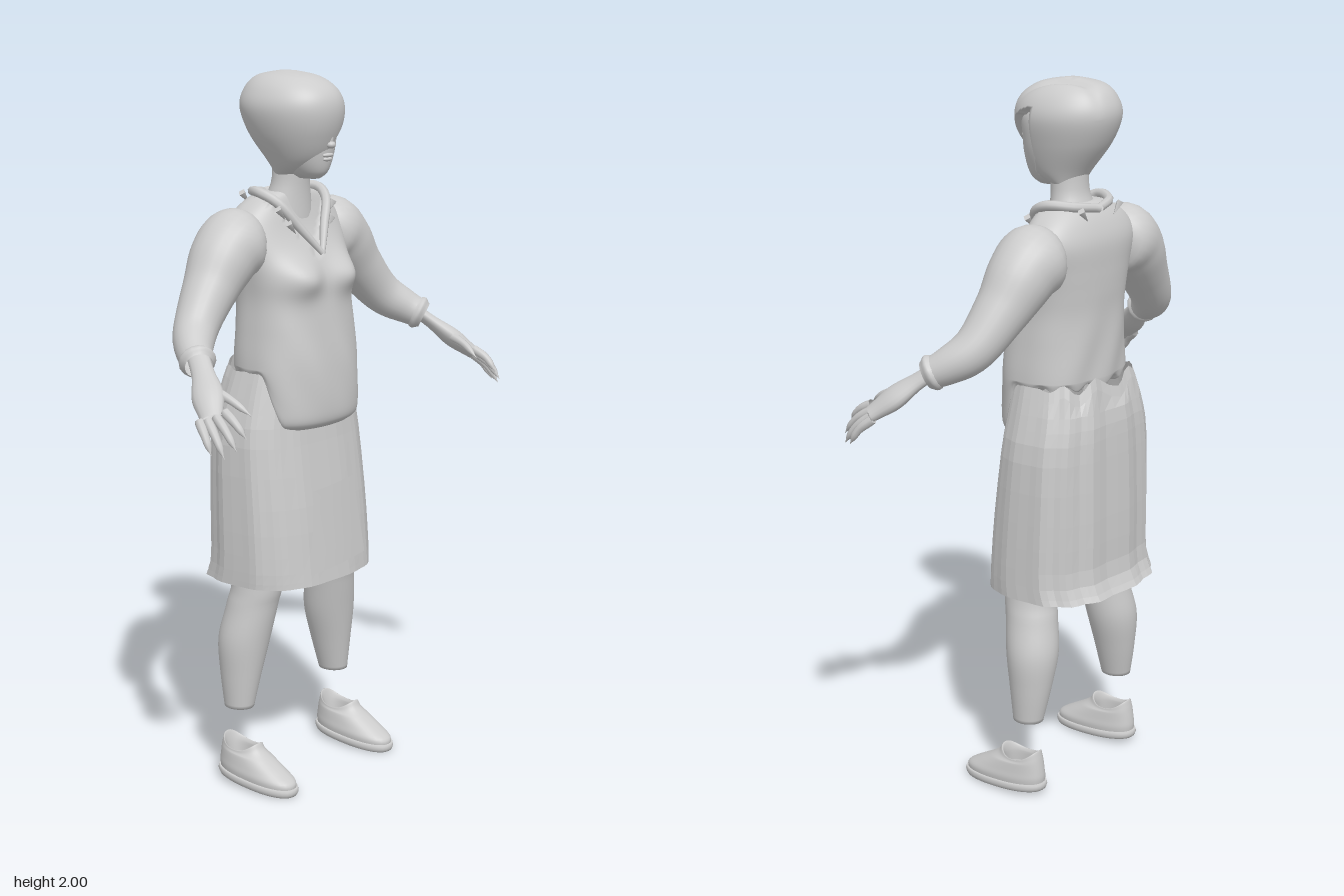
import * as THREE from 'three';
import { mergeVertices } from 'three/addons/utils/BufferGeometryUtils.js';

const clay = new THREE.MeshStandardMaterial({ color: 0xcccccc, side: THREE.DoubleSide });
clay.name = 'light grey';
const V = (x, y, z) => new THREE.Vector3(x, y, z);
const gauss = (d, w) => Math.exp(-(d * d) / (w * w));

// smooth interpolation through rows of numbers, t from 0 to 1
function sample(rows, t) {
  const f = t * (rows.length - 1), i = Math.min(Math.floor(f), rows.length - 2), u = f - i;
  const at = k => rows[Math.max(0, Math.min(rows.length - 1, k))];
  return rows[i].map((b, k) => {
    const a = at(i - 1)[k], c = rows[i + 1][k], d = at(i + 2)[k];
    return b + 0.5 * u * (c - a + u * (2 * a - 5 * b + 4 * c - d + u * (3 * (b - c) + d - a)));
  });
}

// stacked rings from rows [y, half width, front z, back z, centre x]
function loft(rows, { rings = 32, segs = 48, power = 2, rule, capBottom, capTop, flat } = {}) {
  const pos = [], idx = [];
  const levels = [];
  for (let i = 0; i <= rings; i++) levels.push([...sample(rows, i / rings), 1]);
  if (capBottom) levels.unshift([...levels[0].slice(0, 5), 0]);
  if (capTop) levels.push([...levels[levels.length - 1].slice(0, 5), 0]);
  const soft = v => Math.sign(v) * Math.abs(v) ** (2 / power);
  levels.forEach(([y, rx, zf, zb, cx, s]) => {
    for (let j = 0; j < segs; j++) {
      const a = (j / segs) * Math.PI * 2;
      const p = V(cx + soft(Math.cos(a)) * rx * s, y, (zf + zb) / 2 + soft(Math.sin(a)) * s * (zf - zb) / 2);
      if (rule) rule(p, a);
      pos.push(p.x, p.y, p.z);
    }
  });
  for (let i = 0; i < levels.length - 1; i++) {
    for (let j = 0; j < segs; j++) {
      const a = i * segs + j, b = i * segs + (j + 1) % segs, c = a + segs, d = b + segs;
      idx.push(a, c, b, b, c, d);
    }
  }
  let g = new THREE.BufferGeometry();
  g.setAttribute('position', new THREE.Float32BufferAttribute(pos, 3));
  g.setIndex(idx);
  if (flat) g = g.toNonIndexed();
  g.computeVertexNormals();
  return g;
}

// tube of changing radius, optionally squashed along one direction
function limb(points, radii, { n = 24, segs = 16, squash, amount = 0.5 } = {}) {
  const curve = new THREE.CatmullRomCurve3(points);
  const g = new THREE.TubeGeometry(curve, n, 1, segs);
  const p = g.attributes.position, v = V(0, 0, 0), rows = radii.map(r => [r]);
  for (let i = 0; i < p.count; i++) {
    const t = Math.floor(i / (segs + 1)) / n, c = curve.getPointAt(t);
    v.fromBufferAttribute(p, i).sub(c).multiplyScalar(Math.max(0.0005, sample(rows, t)[0]));
    if (squash) v.addScaledVector(squash, -(1 - amount) * v.dot(squash));
    v.add(c);
    p.setXYZ(i, v.x, v.y, v.z);
  }
  g.deleteAttribute('uv');
  g.deleteAttribute('normal');
  const m = mergeVertices(g, 1e-5);
  m.computeVertexNormals();
  return m;
}

export function createModel() {
  const model = new THREE.Group();
  const add = (name, geometry, parent = model) => {
    const m = new THREE.Mesh(geometry, clay);
    m.name = name;
    parent.add(m);
    return m;
  };

  // shirt: bust, recessed V opening, hem long in front and short behind
  add('shirt', loft([
    [1.03, 0.155, 0.08, -0.17, 0], [1.05, 0.175, 0.1, -0.175, 0], [1.1, 0.18, 0.105, -0.178, 0],
    [1.2, 0.185, 0.1, -0.18, 0], [1.3, 0.178, 0.088, -0.18, 0], [1.38, 0.173, 0.078, -0.18, 0],
    [1.44, 0.178, 0.07, -0.183, 0], [1.5, 0.188, 0.046, -0.185, 0], [1.57, 0.2, 0.012, -0.185, 0],
    [1.62, 0.175, -0.005, -0.17, 0], [1.66, 0.12, -0.015, -0.145, 0], [1.675, 0.07, -0.02, -0.12, 0],
  ], {
    rings: 66, segs: 96, power: 2.5, capBottom: true, capTop: true,
    rule(p, a) {
      if (p.y < 1.2) {
        const s = THREE.MathUtils.smoothstep(Math.sin(a), 0.05, 0.55);
        p.y = 1.2 - (1.2 - p.y) * (0.12 + 0.88 * s) + 0.012 * Math.sin(a * 13) * (1 - s) * (1.2 - p.y) * 5;
      }
      if (Math.sin(a) > 0) {
        p.z += 0.034 * gauss(Math.abs(p.x) - 0.088, 0.06) * gauss(p.y - 1.45, 0.05);
        if (p.y > 1.51 + Math.abs(p.x) * 1.25) p.z -= 0.012;
      }
      p.z += 0.003 * Math.sin(p.x * 45 + p.y * 20) * gauss(p.y - 1.2, 0.15);
    },
  }));

  // collar: V in front, round at the back, with a few torn tabs
  for (const s of [1, -1]) {
    add('collar', limb([
      V(0, 1.51, 0.055), V(s * 0.05, 1.58, 0.018), V(s * 0.1, 1.65, -0.02), V(s * 0.115, 1.675, -0.07),
      V(s * 0.075, 1.672, -0.135), V(0, 1.662, -0.16),
    ], [0.008, 0.012, 0.014, 0.014, 0.013, 0.012], { segs: 8 }));
    for (const [x, y, z] of [[0.1, 1.62, -0.005], [0.075, 1.58, 0.012], [0.07, 1.65, -0.165]]) {
      const tab = add('tornTab', new THREE.ConeGeometry(0.012, 0.045, 4), model);
      tab.position.set(s * x, y, z);
      tab.rotation.z = s * 2.4;
    }
  }

  // skirt: faceted pleats, flaring hem and ragged waist behind
  const skirtRows = [
    [0.59, 0.245, 0.12, -0.262, 0], [0.65, 0.245, 0.113, -0.237, 0], [0.8, 0.243, 0.098, -0.235, 0],
    [1.0, 0.235, 0.07, -0.23, 0], [1.1, 0.212, 0.06, -0.223, 0], [1.19, 0.185, 0.05, -0.2, 0],
  ];
  add('skirt', loft(skirtRows, {
    rings: 12, segs: 56, power: 2.7, flat: true,
    rule(p, a) {
      const back = Math.max(0, -Math.sin(a));
      const k = 1 + 0.018 * Math.sin(a * 14) * (0.4 + back) - 0.012;
      p.x *= k;
      p.z = (p.z + 0.07) * k - 0.07;
      if (p.y > 1.12) p.y += 0.022 * Math.sin(a * 9 + 1) * back;
    },
  }));

  // thin patch on the skirt front
  const patch = new THREE.PlaneGeometry(0.2, 0.23, 4, 4);
  const pp = patch.attributes.position;
  for (let i = 0; i < pp.count; i++) {
    const y = 0.75 + pp.getY(i), x = pp.getX(i) * (1 - (y - 0.75) * 1.3);
    pp.setXYZ(i, x, y + x * 0.08, 0.125 - (y - 0.63) * 0.1 - x * x * 0.6);
  }
  patch.computeVertexNormals();
  add('skirtPatch', patch);

  for (const s of [1, -1]) {
    const side = s > 0 ? 'left' : 'right';
    const M = (x, y, z) => V(s * x, y, z);

    // sleeve and cuff
    add(side + 'Sleeve', limb([
      M(0.08, 1.55, -0.09), M(0.15, 1.555, -0.09), M(0.22, 1.528, -0.09), M(0.31, 1.43, -0.078),
      M(0.395, 1.335, -0.05), M(0.445, 1.295, -0.005), M(0.472, 1.272, 0.035),
    ], [0, 0.092, 0.092, 0.076, 0.064, 0.055, 0.042], { n: 36, segs: 24 }));
    add(side + 'Cuff', limb([M(0.458, 1.285, 0.015), M(0.467, 1.277, 0.028), M(0.476, 1.269, 0.042)],
      [0.042, 0.05, 0.038], { n: 8 }));

    // hand
    const normal = M(0.08, -0.11, 0.12).cross(M(0.07, -0.04, -0.06)).normalize();
    const hand = new THREE.Group();
    hand.name = side + 'Hand';
    model.add(hand);
    add('palm', limb([M(0.45, 1.295, 0.01), M(0.485, 1.25, 0.065), M(0.52, 1.205, 0.115), M(0.558, 1.16, 0.165)],
      [0.03, 0.031, 0.043, 0.03], { squash: normal, amount: 0.6 }), hand);
    const fingers = [
      [0.532, 1.178, 0.185, 0.535, 1.12, 0.262], [0.55, 1.167, 0.172, 0.565, 1.092, 0.256],
      [0.566, 1.158, 0.157, 0.588, 1.074, 0.235], [0.578, 1.155, 0.14, 0.602, 1.08, 0.203],
      [0.498, 1.22, 0.11, 0.482, 1.165, 0.232],
    ];
    for (const [x, y, z, u, v, w] of fingers) {
      add('finger', limb([M(x, y, z), M((x + u) / 2 + 0.004, (y + v) / 2 + 0.006, (z + w) / 2 + 0.004), M(u, v, w)],
        [0.013, 0.013, 0.011, 0.009, 0], { n: 12, segs: 8 }), hand);
    }

    // leg, ending above the ankle
    add(side + 'Leg', loft([
      [0.22, 0.04, -0.033, -0.122, s * 0.207], [0.32, 0.058, -0.018, -0.14, s * 0.197],
      [0.42, 0.074, -0.002, -0.15, s * 0.185], [0.52, 0.071, 0.015, -0.135, s * 0.168],
      [0.62, 0.071, 0.03, -0.125, s * 0.152], [0.95, 0.1, 0.03, -0.15, s * 0.1],
    ], { segs: 28, capBottom: true, capTop: true }));

    // shoe with hollow opening, on a slightly wider sole
    const pitch = p => { p.y += (0.14 - p.z) * 0.06; };
    add(side + 'Shoe', loft([
      [0.015, 0.054, 0.132, -0.132, s * 0.214], [0.035, 0.056, 0.13, -0.134, s * 0.214],
      [0.055, 0.052, 0.095, -0.132, s * 0.214], [0.08, 0.047, 0.045, -0.128, s * 0.214],
      [0.1, 0.043, 0.015, -0.124, s * 0.214], [0.118, 0.041, 0.002, -0.118, s * 0.214],
      [0.09, 0.036, -0.005, -0.11, s * 0.214], [0.05, 0.034, 0, -0.105, s * 0.214],
    ], {
      segs: 36, power: 2.3, capBottom: true, capTop: true,
      rule(p, a) {
        if (p.y > 0.08) p.y -= (p.y - 0.08) * 0.7 * Math.cos(a) ** 2;
        pitch(p);
      },
    }));
    add(side + 'Sole', loft([
      [0, 0.057, 0.135, -0.135, s * 0.214], [0.011, 0.061, 0.14, -0.14, s * 0.214], [0.022, 0.058, 0.137, -0.137, s * 0.214],
    ], { rings: 4, segs: 36, power: 2.3, capBottom: true, capTop: true, rule: pitch }));
  }

  // neck and head
  add('neck', loft([
    [1.6, 0.085, -0.01, -0.15, 0], [1.66, 0.068, -0.012, -0.125, 0], [1.71, 0.056, -0.01, -0.11, 0], [1.8, 0.055, 0, -0.11, 0],
  ], { rings: 12, segs: 28 }));
  add('head', loft([
    [1.712, 0.022, 0.04, -0.03, 0], [1.73, 0.045, 0.062, -0.06, 0], [1.77, 0.068, 0.074, -0.085, 0],
    [1.83, 0.085, 0.08, -0.1, 0], [1.9, 0.09, 0.08, -0.12, 0], [1.95, 0.06, 0.04, -0.1, 0],
  ], {
    capBottom: true, capTop: true,
    rule(p, a) { // eye sockets
      if (Math.sin(a) > 0) p.z -= 0.01 * gauss(Math.abs(p.x) - 0.035, 0.02) * gauss(p.y - 1.845, 0.018);
    },
  }));
  const blob = (name, x, y, z, rx, ry, rz) => {
    const m = add(name, new THREE.SphereGeometry(1, 16, 12));
    m.position.set(x, y, z);
    m.scale.set(rx, ry, rz);
  };
  blob('noseBridge', 0, 1.826, 0.079, 0.009, 0.03, 0.012);
  blob('noseTip', 0, 1.806, 0.084, 0.014, 0.01, 0.013);
  blob('upperLip', 0, 1.778, 0.074, 0.022, 0.006, 0.008);
  blob('lowerLip', 0, 1.767, 0.072, 0.018, 0.006, 0.008);
  for (const s of [1, -1]) blob('eye', s * 0.036, 1.843, 0.062, 0.015, 0.008, 0.009);

  // bobbed hair: fringe sweeps across the right eye, the rest of the face stays open
  add('hair', loft([
    [1.715, 0.05, -0.035, -0.09, 0], [1.755, 0.078, 0.05, -0.115, -0.003], [1.83, 0.112, 0.092, -0.168, -0.01],
    [1.9, 0.128, 0.106, -0.195, -0.012], [1.95, 0.112, 0.088, -0.185, -0.012], [1.985, 0.075, 0.035, -0.15, -0.012],
    [2, 0.02, -0.04, -0.08, -0.012],
  ], {
    rings: 60, segs: 120, power: 2.1, capBottom: true, capTop: true,
    rule(p) {
      const open = p.y < 1.79 + p.x * 1.25 && p.z > -0.005 + Math.max(0, 1.8 - p.y) * 0.2;
      if (open && p.y < 1.94) { p.x *= 0.6; p.z = p.z * 0.5 - 0.02; }
      else if (p.y < 1.77 && p.z > 0.02 && p.x > -0.03) p.z *= 0.4;
      // swirl groove at the crown
      if (p.y > 1.9) p.y -= 0.014 * gauss(p.x - 0.05 - 0.03 * Math.sin(p.z * 14), 0.018) * gauss(p.z + 0.06, 0.1);
    },
  }));

  return model;
}
